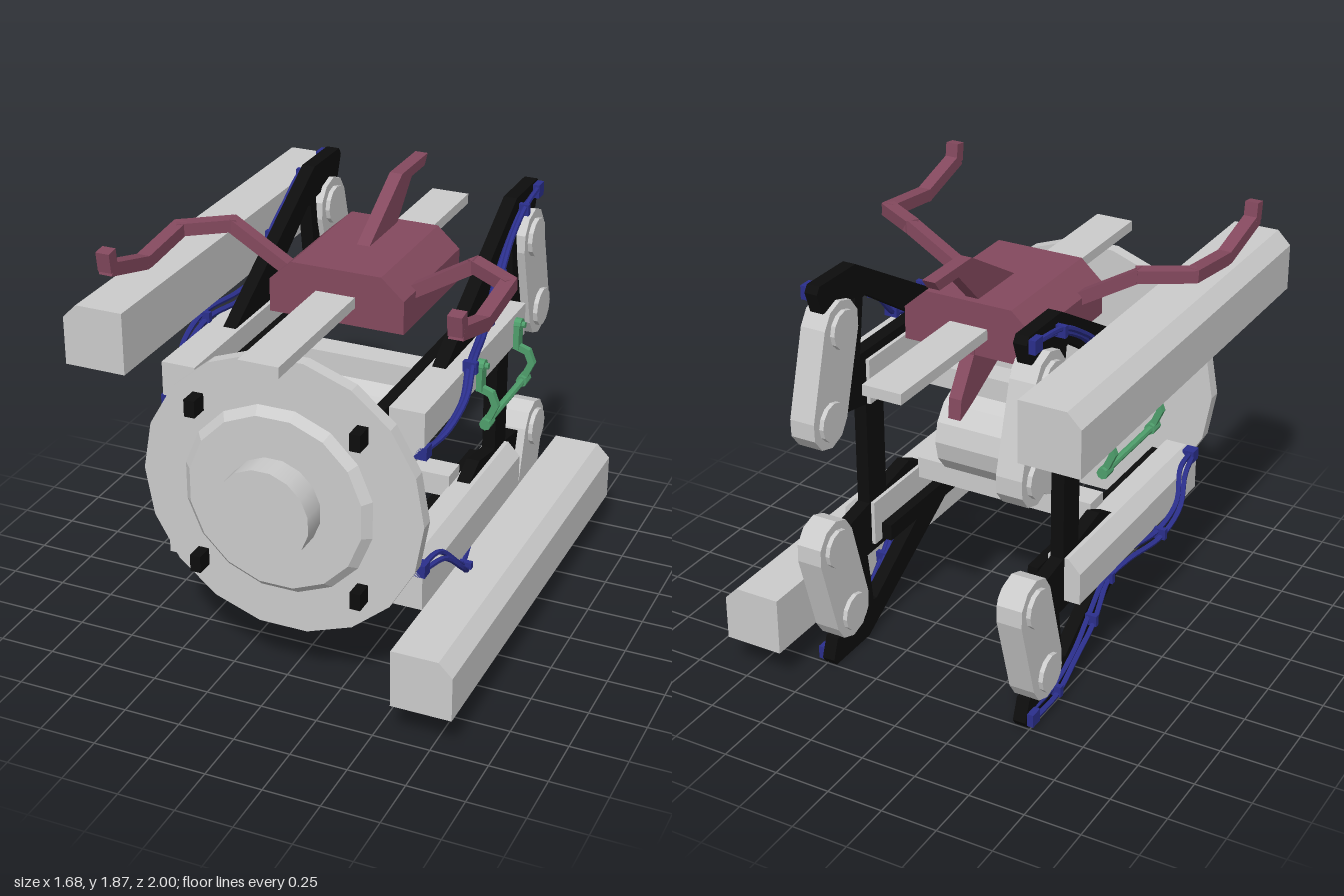
import * as THREE from 'three';

const CX = 0.015; // symmetry plane of the frame
const MY = 1.8;   // upper and lower halves mirror as y -> 1.8 - y
const GREY = 0xcccccc, BLACK = 0x0d0d0d, BLUE = 0x2b2f8c, GREEN = 0x4f9f6c, PLUM = 0x84495e;
const V = (x, y, z) => new THREE.Vector3(x, y, z);

const materials = new Map();
function material(color, flat = true) {
  const key = color + (flat ? 'f' : 's');
  if (!materials.has(key)) materials.set(key, new THREE.MeshStandardMaterial({ color, flatShading: flat }));
  return materials.get(key);
}

function part(parent, name, geo, color, flat = true) {
  const mesh = new THREE.Mesh(geo, material(color, flat));
  mesh.name = name;
  parent.add(mesh);
  return mesh;
}

// Box from its minimum and maximum corners
function box(x0, x1, y0, y1, z0, z1) {
  return new THREE.BoxGeometry(x1 - x0, y1 - y0, z1 - z0).translate((x0 + x1) / 2, (y0 + y1) / 2, (z0 + z1) / 2);
}

// [x, y] section extruded along z
function alongZ(pts, z0, z1) {
  const shape = new THREE.Shape(pts.map(p => new THREE.Vector2(p[0], p[1])));
  return new THREE.ExtrudeGeometry(shape, { depth: z1 - z0, bevelEnabled: false }).translate(0, 0, z0);
}

// [z, y] outline (with an optional hole) extruded along x
function plate(pts, x0, x1, hole) {
  const toV = p => new THREE.Vector2(-p[0], p[1]);
  const shape = new THREE.Shape(pts.map(toV));
  if (hole) shape.holes.push(new THREE.Path(hole.map(toV)));
  return new THREE.ExtrudeGeometry(shape, { depth: x1 - x0, bevelEnabled: false })
    .rotateY(Math.PI / 2).translate(x0, 0, 0);
}

// Cylinder along x or z
function cylX(r, x0, x1, y, z, n) {
  return new THREE.CylinderGeometry(r, r, x1 - x0, n).rotateZ(Math.PI / 2).translate((x0 + x1) / 2, y, z);
}
function cylZ(rBack, rFront, z0, z1, n) {
  return new THREE.CylinderGeometry(rFront, rBack, z1 - z0, n, 1, false, Math.PI / n)
    .rotateX(Math.PI / 2).translate(CX, 0.9, (z0 + z1) / 2);
}

// Square bar between two points, slightly overrun so corners close
function bar(a, b, w, h, over = 0.015) {
  const d = b.clone().sub(a);
  const m = new THREE.Matrix4().lookAt(b, a, Math.abs(d.y) > 0.9 * d.length() ? V(0, 0, 1) : V(0, 1, 0));
  m.setPosition(a.clone().add(b).multiplyScalar(0.5));
  return new THREE.BoxGeometry(w, h, d.length() + 2 * over).applyMatrix4(m);
}

// Mirrored copy with its winding kept outward
function mirrored(geo, sx, sy) {
  const g = geo.index ? geo.toNonIndexed() : geo.clone();
  g.scale(sx, sy, 1).translate(CX, sy < 0 ? MY : 0, 0);
  if (sx * sy < 0) {
    const p = g.attributes.position;
    for (let i = 0; i < p.count; i += 3) {
      const a = V().fromBufferAttribute(p, i), c = V().fromBufferAttribute(p, i + 2);
      p.setXYZ(i, c.x, c.y, c.z);
      p.setXYZ(i + 2, a.x, a.y, a.z);
    }
  }
  g.computeVertexNormals();
  return g;
}

// Octagon-ended link plate around two [z, y] pivots
function linkOutline(a, b, r) {
  const pts = [], dir = Math.atan2(a[1] - b[1], a[0] - b[0]);
  [[a, dir], [b, dir + Math.PI]].forEach(([c, t]) => {
    for (let i = 0; i <= 5; i++) {
      const s = t - Math.PI / 2 + i * Math.PI / 5;
      pts.push([c[0] + r * Math.cos(s), c[1] + r * Math.sin(s)]);
    }
  });
  return pts;
}

// Parts of the upper +x quarter; x is measured from the symmetry plane
function quarterParts() {
  const list = [];
  const put = (name, geo, color) => list.push({ name, geo, color });

  put('sideBeam', alongZ([[0.425, 1.345], [0.425, 1.14], [0.52, 1.14], [0.575, 1.2], [0.575, 1.345]], -0.43, 0.71), GREY);
  put('longRod', box(0.335, 0.382, 1.22, 1.295, -0.44, 0.89), BLACK);
  put('legPlate', plate(
    [[0.31, 1.345], [-0.48, 1.795], [-0.74, 1.795], [-0.76, 1.765], [-0.725, 1.67], [-0.49, 1.65], [-0.505, 1.53],
      [-0.605, 1.17], [-0.44, 1.14], [-0.44, 0.9], [-0.305, 0.9], [-0.305, 1.12], [-0.115, 1.085], [0, 1.14], [0, 1.345]],
    0.442, 0.501, [[-0.02, 1.385], [-0.47, 1.385], [-0.435, 1.63], [-0.41, 1.635]]), BLACK);

  // Swinging link with a round cap at each pivot
  const top = [-0.628, 1.572], low = [-0.735, 1.2];
  put('link', plate(linkOutline(top, low, 0.125), 0.42, 0.535), GREY);
  for (const p of [top, low]) put('linkPivot', cylX(0.085, 0.4, 0.555, p[1], p[0], 12), GREY);

  // Pair of hoses with end fittings and clips
  const path = [[0.565, 1.165, 0.68], [0.59, 1.18, 0.53], [0.625, 1.28, 0.42], [0.6, 1.365, 0.29], [0.55, 1.375, 0.05],
    [0.53, 1.41, -0.08], [0.525, 1.55, -0.22], [0.52, 1.65, -0.35], [0.515, 1.735, -0.52], [0.505, 1.755, -0.71]];
  for (const s of [-1, 1]) {
    const pts = path.map((p, i) => {
      const spread = s * (0.006 + 0.007 * Math.abs(Math.sin(i * 1.3)));
      return V(p[0] + spread, p[1] + spread, p[2]);
    });
    put('hose', new THREE.TubeGeometry(new THREE.CatmullRomCurve3(pts), 48, 0.012, 6), BLUE);
  }
  put('hoseFitting', box(0.53, 0.585, 1.14, 1.195, 0.655, 0.71), BLUE);
  put('hoseFitting', box(0.475, 0.53, 1.725, 1.785, -0.745, -0.685), BLUE);
  for (const i of [3, 5, 6, 8]) {
    const p = path[i];
    put('hoseClip', box(p[0] - 0.03, p[0] + 0.03, p[1] - 0.025, p[1] + 0.025, p[2] - 0.012, p[2] + 0.012), BLUE);
  }
  return list;
}

// Handle hanging off the side of an upper beam
function handleParts() {
  const list = [];
  const put = geo => list.push({ name: 'handle', geo, color: GREEN });
  for (const z of [0.13, -0.31]) {
    put(box(0.575, 0.6, 1.19, 1.3, z - 0.026, z + 0.026));
    put(cylX(0.027, 0.57, 0.605, 1.3, z, 10));
    put(cylX(0.014, 0.56, 0.62, 1.3, z, 8));
    const pts = [V(0.59, 1.195, z), V(0.635, 1.18, z), V(0.655, 1.13, z), V(0.62, 1.05, z)];
    for (let i = 0; i < 3; i++) put(bar(pts[i], pts[i + 1], 0.028, 0.028, 0.006));
    put(new THREE.CylinderGeometry(0.025, 0.025, 0.06, 8).rotateX(Math.PI / 2).translate(0.62, 1.045, z));
  }
  put(new THREE.CylinderGeometry(0.016, 0.016, 0.46, 8).rotateX(Math.PI / 2).translate(0.62, 1.045, -0.09));
  return list;
}

export function createModel() {
  const model = new THREE.Group();
  model.name = 'model';

  // Long outer rails with a chamfered outer top edge
  const rail = (s, x0, x1, y0, y1) => [[s * x0, y0], [s * x1, y0], [s * x1, y1 - 0.06], [s * (x1 - 0.06), y1], [s * x0, y1]];
  part(model, 'lowerLeftRail', alongZ(rail(1, 0.575, 0.84, 0.17, 0.43), -0.99, 1), GREY);
  part(model, 'upperRightRail', alongZ(rail(-1, 0.575, 0.84, 1.4, 1.665), -0.99, 0.98), GREY);
  part(model, 'topBeam', box(-0.075, 0.1, 1.52, 1.567, -1, 0.98), GREY);

  // Front disc, bevelled ring and hub
  part(model, 'frontDisc', cylZ(0.62, 0.62, 0.75, 0.81, 18), GREY);
  part(model, 'frontRing', cylZ(0.42, 0.385, 0.835, 0.87, 16), GREY);
  part(model, 'frontHub', cylZ(0.205, 0.205, 0.665, 0.985, 16), GREY, false);

  // Central roller between two cross bars
  part(model, 'roller', cylX(0.203, CX - 0.25, CX + 0.25, 0.9, 0, 14), GREY);
  for (const y of [1.09, 0.61]) part(model, 'crossBar', box(CX - 0.43, CX + 0.43, y, y + 0.1, -0.06, 0.06), GREY);

  // Four mirrored quarters of the frame
  const quarter = quarterParts(), handle = handleParts();
  for (const sx of [1, -1]) for (const sy of [1, -1]) {
    const group = new THREE.Group();
    group.name = (sy > 0 ? 'upper' : 'lower') + (sx > 0 ? 'Left' : 'Right') + 'Frame';
    const parts = sy > 0 ? quarter.concat(handle) : quarter;
    for (const p of parts) part(group, p.name, mirrored(p.geo, sx, sy), p.color);
    model.add(group);
  }

  // Top body with fin and rear strut
  const body = new THREE.Group();
  body.name = 'topBody';
  model.add(body);
  part(body, 'bodyBlock', alongZ([[-0.285, 1.44], [0.315, 1.44], [0.315, 1.585], [0.215, 1.675], [-0.185, 1.675], [-0.285, 1.585]], -0.34, 0.27), PLUM);
  part(body, 'fin', plate([[0, 1.67], [-0.355, 1.875], [-0.64, 1.875], [-0.605, 1.83], [-0.46, 1.83], [-0.3, 1.67]], -0.015, 0.043), PLUM);
  part(body, 'rearStrut', plate([[0, 1.45], [-0.34, 1.57], [-0.345, 1.44], [-0.45, 1.28], [-0.46, 1.19], [-0.36, 1.23], [-0.1, 1.36]], -0.015, 0.043), PLUM);

  // Bent arms reaching forward on both sides
  const arm = [V(0.275, 1.57, 0.115), V(0.545, 1.73, 0.115), V(0.73, 1.725, 0.235), V(0.735, 1.69, 0.54), V(0.74, 1.765, 0.81), V(0.74, 1.84, 0.82)];
  for (const s of [1, -1]) {
    for (let i = 0; i < arm.length - 1; i++) {
      const g = bar(arm[i], arm[i + 1], 0.06, 0.055, i === arm.length - 2 ? 0.005 : 0.014);
      part(body, 'arm', mirrored(g, s, 1), PLUM);
    }
  }
  return model;
}
